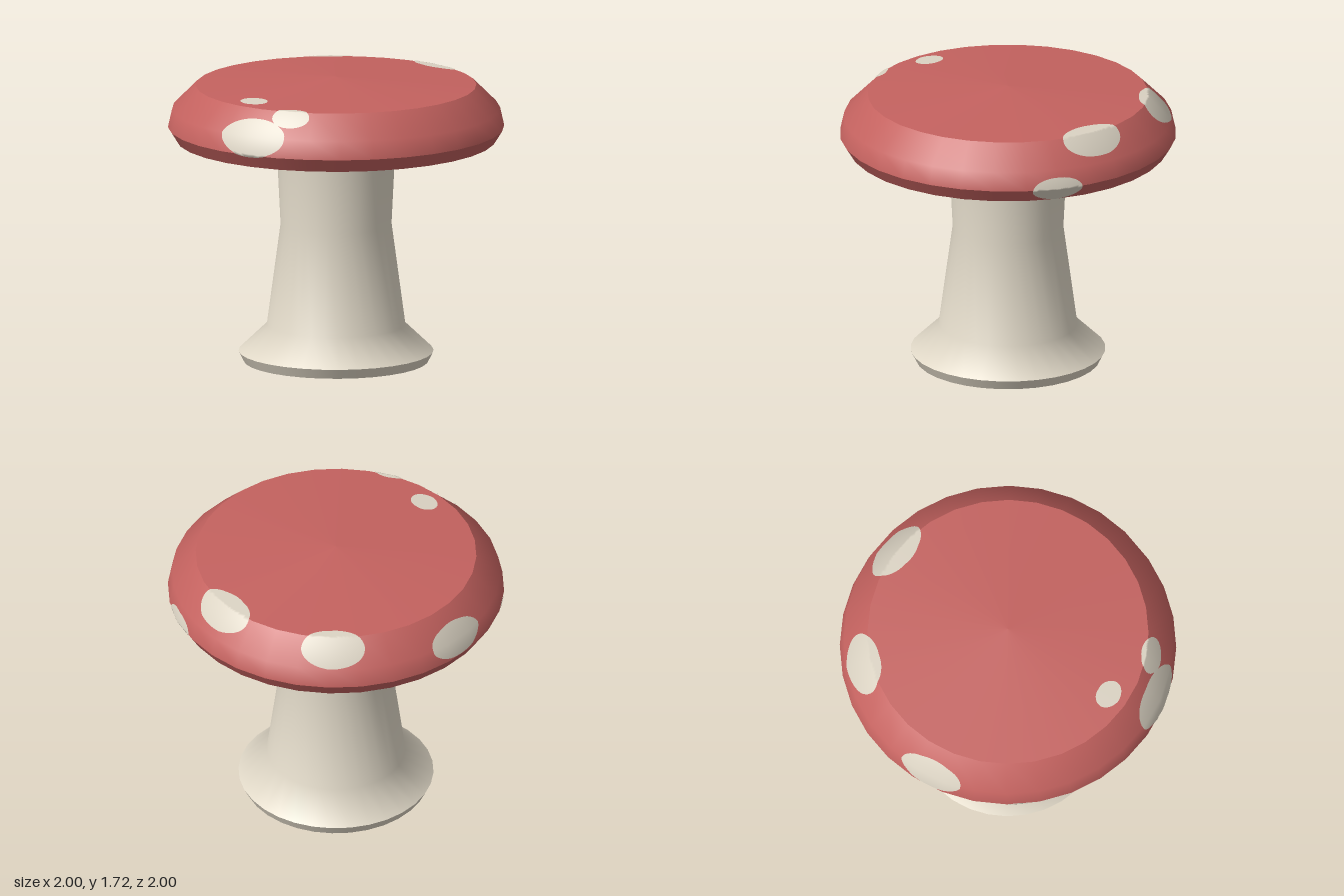
import * as THREE from 'three';

const SIDES = 32;

// Cap profile as [radius, height], from underside centre to crown
const CAP = [[0, 1.34], [0.95, 1.34], [1, 1.42], [0.975, 1.53], [0.835, 1.67], [0, 1.72]];

// Outward normal [radial, up] of each profile segment
const segNormal = CAP.slice(1).map(([r, y], i) => {
  const dr = r - CAP[i][0], dy = y - CAP[i][1], l = Math.hypot(dr, dy);
  return { n: [dy / l, -dr / l], l };
});

// Point and normal on the cap profile at arc length s
function capAt(s) {
  let i = 0;
  while (i < segNormal.length - 1 && s > segNormal[i].l) s -= segNormal[i++].l;
  const t = s / segNormal[i].l, [a, b] = [CAP[i], CAP[i + 1]];
  const n = segNormal[i].n;
  const mid = [0, 1].map(k => (segNormal[2].n[k] + segNormal[3].n[k]) / 2);
  let shade = n;
  // the shoulder is shaded smoothly over its two segments
  if (i === 2) shade = n.map((v, k) => v + (mid[k] - v) * t);
  if (i === 3) shade = n.map((v, k) => mid[k] + (v - mid[k]) * t);
  return { r: a[0] + (b[0] - a[0]) * t, y: a[1] + (b[1] - a[1]) * t, n, shade };
}

// Elliptical patch lying on the cap: angle from +z, arc length, half width, half height
function spotGeometry(angle, s0, w, h) {
  const RINGS = 14, SEG = 44, pos = [], nor = [], idx = [];
  const r0 = capAt(s0).r, step = (Math.PI * 2) / SIDES;
  for (let i = 0; i <= RINGS; i++) {
    for (let j = 0; j < SEG; j++) {
      const a = (j / SEG) * Math.PI * 2, k = i / RINGS;
      const p = capAt(s0 + Math.sin(a) * h * k);
      const th = angle + (Math.cos(a) * w * k) / r0;
      // follow the flat facets of the cap
      const local = ((th % step) + step) % step - step / 2;
      const r = p.r * Math.cos(step / 2) / Math.cos(local) + p.n[0] * 0.005;
      pos.push(Math.sin(th) * r, p.y + p.n[1] * 0.005, Math.cos(th) * r);
      const l = Math.hypot(...p.shade);
      nor.push(Math.sin(th) * p.shade[0] / l, p.shade[1] / l, Math.cos(th) * p.shade[0] / l);
      if (i < RINGS) {
        const b = i * SEG, j2 = (j + 1) % SEG;
        idx.push(b + j, b + SEG + j, b + SEG + j2);
        if (i > 0) idx.push(b + j, b + SEG + j2, b + j2);
      }
    }
  }
  const g = new THREE.BufferGeometry();
  g.setAttribute('position', new THREE.Float32BufferAttribute(pos, 3));
  g.setAttribute('normal', new THREE.Float32BufferAttribute(nor, 3));
  g.setIndex(idx);
  return g;
}

export function createModel() {
  const model = new THREE.Group();
  model.name = 'mushroom';
  const red = new THREE.MeshStandardMaterial({ color: 0xc4625f });
  red.name = 'capRed';
  const cream = new THREE.MeshStandardMaterial({ color: 0xe0d8c7, side: THREE.DoubleSide });
  cream.name = 'stemCream';
  const pale = new THREE.MeshStandardMaterial({ color: 0xdbd3c3 });
  pale.name = 'spotCream';

  const add = (parent, name, geometry, material) => {
    const m = new THREE.Mesh(geometry, material);
    m.name = name;
    parent.add(m);
  };
  const lathe = pts => new THREE.LatheGeometry(pts.map(p => new THREE.Vector2(...p)), SIDES);

  // Stem: open at the bottom, with a creased foot rim
  const stem = new THREE.Group();
  stem.name = 'stem';
  add(stem, 'footRim', lathe([[0.55, 0], [0.58, 0.06]]), cream);
  add(stem, 'stalk', lathe([[0.58, 0.06], [0.412, 0.22], [0.33, 0.83], [0.355, 1.34]]), cream);

  // Cap: separate bands keep the edges between them sharp
  const cap = new THREE.Group();
  cap.name = 'cap';
  add(cap, 'capUnderside', lathe(CAP.slice(0, 2)), red);
  add(cap, 'capLip', lathe(CAP.slice(1, 3)), red);
  add(cap, 'capShoulder', lathe(CAP.slice(2, 5)), red);
  add(cap, 'capCrown', lathe(CAP.slice(4, 6)), red);

  // Spots: x and z of the centre direction, arc length on profile, half width, half height
  const spots = new THREE.Group();
  spots.name = 'spots';
  [
    [-0.02, -0.88, 1.285, 0.19, 0.125],
    [0.63, -0.55, 1.325, 0.2, 0.125],
    [0.92, -0.38, 1.035, 0.155, 0.078],
    [-0.75, -0.617, 1.155, 0.2, 0.105],
    [-0.97, -0.12, 0.97, 0.16, 0.085],
    [-0.53, 0.82, 1.158, 0.215, 0.125],
    [-0.29, 0.8, 1.31, 0.115, 0.075],
    [-0.505, 0.515, 1.47, 0.09, 0.07],
    [0.16, -0.65, 0.67, 0.135, 0.135],
    [0.37, 0.14, 0.385, 0.09, 0.085],
  ].forEach(([x, z, s, w, h]) => add(spots, 'spot', spotGeometry(Math.atan2(x, z), s, w, h), pale));

  model.add(stem, cap, spots);
  return model;
}
